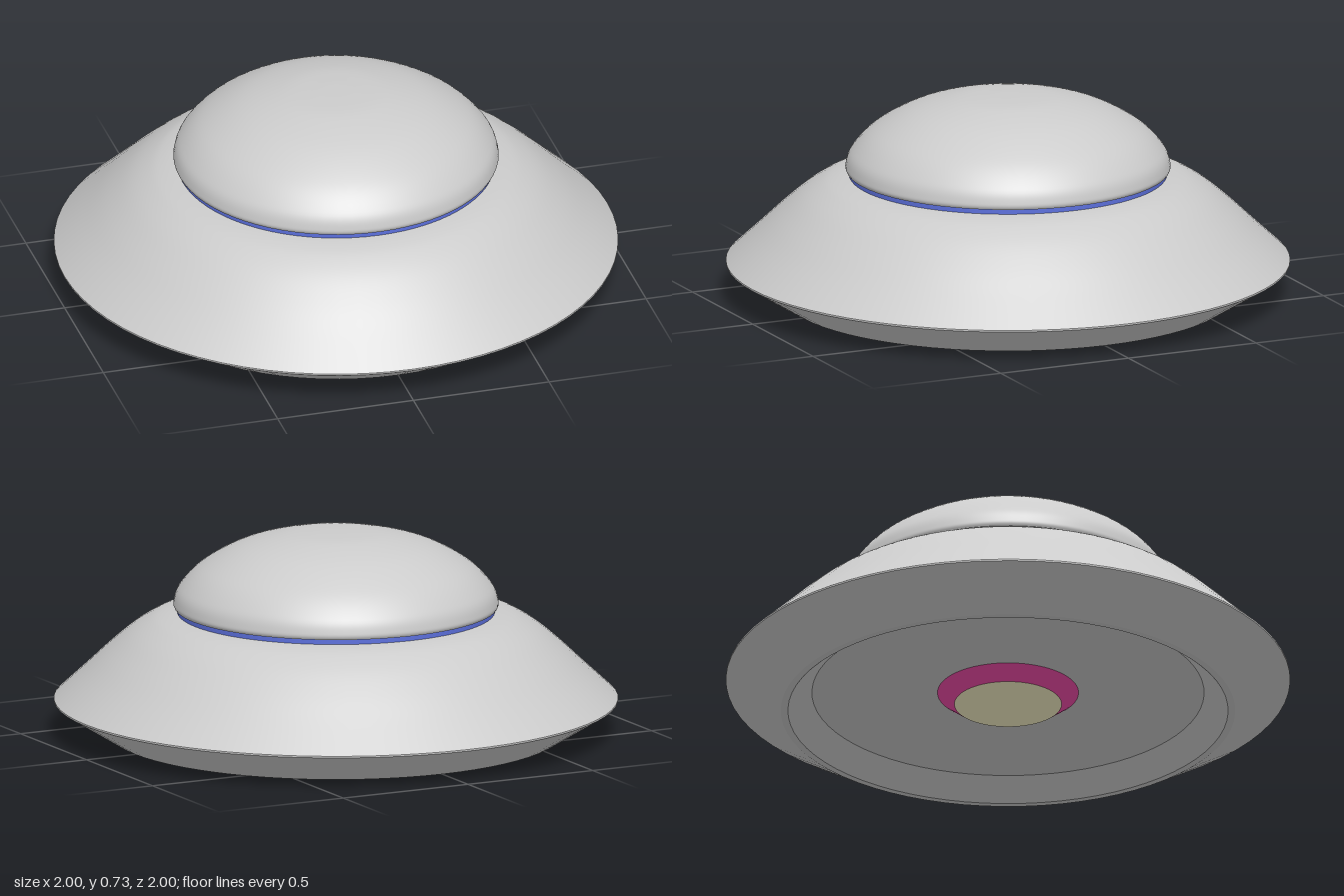
import * as THREE from 'three';

const grey = new THREE.MeshStandardMaterial({ color: 0xcccccc });
const blue = new THREE.MeshStandardMaterial({ color: 0x5c70dd });
const pink = new THREE.MeshStandardMaterial({ color: 0xf04aa8 });
const cream = new THREE.MeshStandardMaterial({ color: 0xfff8cc });

// Profiles run from the bottom centre outwards and up, so faces point outside.
const vectors = (points) => points.map(([r, y]) => new THREE.Vector2(r, y));

function turned(name, profile, material) {
  const mesh = new THREE.Mesh(new THREE.LatheGeometry(profile, 72), material);
  mesh.name = name;
  return mesh;
}

const straight = (name, points, material = grey) => turned(name, vectors(points), material);

const curved = (name, points, divisions, material = grey) =>
  turned(name, new THREE.SplineCurve(vectors(points)).getPoints(divisions), material);

export function createModel() {
  const model = new THREE.Group();
  model.name = 'saucer';

  // Underside: a lamp hanging from a plate recessed inside the bottom rim
  const underside = new THREE.Group();
  underside.name = 'underside';
  underside.add(
    straight('lampLens', [[0, 0.025], [0.19, 0.025]], cream),
    straight('lampCollar', [[0.19, 0.025], [0.25, 0.07]], pink),
    straight('bottomPlate', [[0.25, 0.07], [0.695, 0.07]]),
    straight('recessWall', [[0.695, 0.07], [0.78, 0]]),
    straight('bottomRim', [[0.78, 0], [0.805, 0]]),
  );

  // Hull: flared skirt below the sharp edge, sloping shell above it
  const hull = new THREE.Group();
  hull.name = 'hull';
  hull.add(
    straight('lowerSkirt', [[0.805, 0], [1, 0.12]]),
    straight('edgeBand', [[1, 0.12], [1, 0.126]]),
    curved('upperShell', [
      [1, 0.126], [0.9, 0.219], [0.81, 0.304], [0.73, 0.371],
      [0.66, 0.413], [0.61, 0.43], [0.56, 0.438],
    ], 36),
  );

  // Neck: thin coloured ring between hull and dome
  const neck = straight('neckRing', [[0.563, 0.434], [0.563, 0.46]], blue);

  // Dome with a flat underside and a rounded lower lip
  const dome = new THREE.Group();
  dome.name = 'dome';
  dome.add(
    straight('domeUnderside', [[0.5, 0.456], [0.572, 0.456]]),
    curved('domeShell', [
      [0.572, 0.456], [0.576, 0.476], [0.555, 0.53], [0.48, 0.606], [0.35, 0.677],
      [0.2, 0.717], [0.08, 0.727], [0, 0.728],
    ], 48),
  );

  model.add(underside, hull, neck, dome);
  return model;
}
